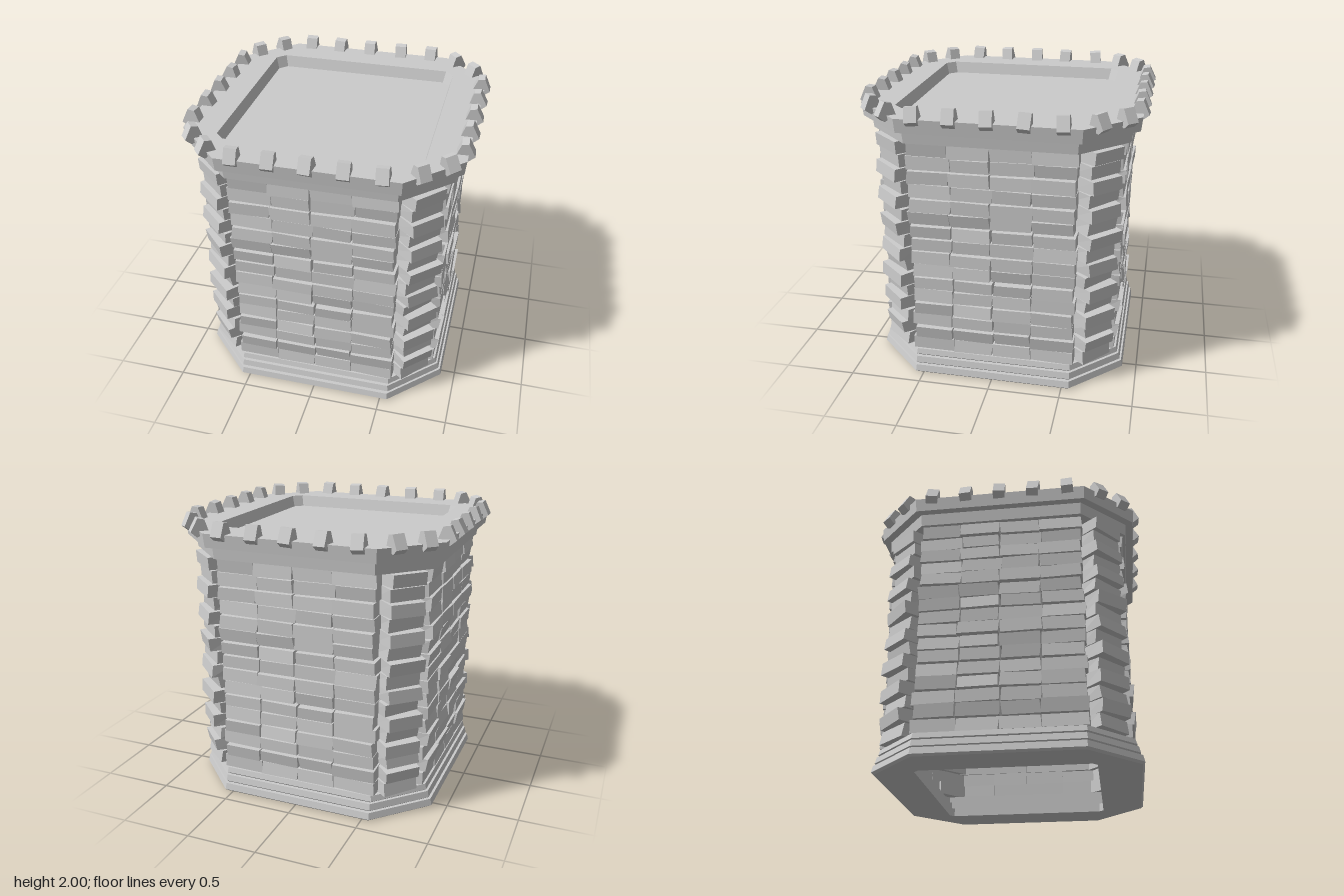
import * as THREE from 'three';
import { mergeGeometries } from 'three/addons/utils/BufferGeometryUtils.js';

const stone = new THREE.MeshStandardMaterial({ color: 0xcccccc, flatShading: true });

// small seeded generator, returns -1..1
let seed = 11;
const jitter = () => {
  seed = (seed * 16807) % 2147483647;
  return (seed / 2147483647) * 2 - 1;
};

// square with cut corners: half width h, corner cut starting at c
const octagon = (h, c) => [[-c, h], [c, h], [h, c], [h, -c], [c, -h], [-c, -h], [-h, -c], [-h, c]];

// solid ring lofted through a closed profile of [half width, corner start, y]
function ring(name, profile) {
  const loops = profile.map(([h, c, y]) => octagon(h, c).map(([x, z]) => [x, y, z]));
  const pos = [];
  loops.forEach((low, j) => {
    const high = loops[(j + 1) % loops.length];
    for (let i = 0; i < 8; i++) {
      const n = (i + 1) % 8;
      pos.push(...low[i], ...low[n], ...high[n], ...low[i], ...high[n], ...high[i]);
    }
  });
  const geo = new THREE.BufferGeometry();
  geo.setAttribute('position', new THREE.Float32BufferAttribute(pos, 3));
  geo.computeVertexNormals();
  const mesh = new THREE.Mesh(geo, stone);
  mesh.name = name;
  return mesh;
}

// plinth step with an undercut lower edge
const plinthStep = (name, y0, y1, outer, inner) => ring(name, [
  [outer - 0.015, 0.545, y0], [outer, 0.555, y0 + 0.014], [outer - 0.01, 0.55, y1],
  [inner, inner - 0.03, y1], [inner, inner - 0.03, y0],
]);

// hewn block: flat front face, front edges slightly out of square
function brick(w, h, d, rough) {
  const geo = new THREE.BoxGeometry(w, h, d).toNonIndexed();
  const p = geo.attributes.position;
  const [slant, skew, taper] = [jitter() * rough, jitter() * rough, Math.abs(jitter()) * rough];
  for (let i = 0; i < p.count; i++) {
    if (p.getZ(i) < 0) continue;
    const [sx, sy] = [Math.sign(p.getX(i)), Math.sign(p.getY(i))];
    p.setXYZ(i,
      p.getX(i) + sy * slant * 0.4 - sx * taper * 0.5,
      p.getY(i) - sy * (0.002 + taper * 0.4),
      p.getZ(i) + sy * skew * 0.6);
  }
  geo.computeVertexNormals();
  return geo;
}

// one wall of coursed bricks, facing +z, with the corner stack on its right
function wallGeometries() {
  const rows = 16, rowH = 0.0976, base = 0.168;
  const wall = [], corner = [];
  for (let r = 0; r < rows; r++) {
    const y = base + (r + 0.5) * rowH;
    const out = r % 2 ? 0.008 : -0.004;
    const joints = [-0.565, -0.28, 0, 0.28, 0.565].map((x) => x + jitter() * 0.012);
    for (let b = 0; b < 4; b++) {
      wall.push(brick(joints[b + 1] - joints[b], rowH, 0.15, 0.014)
        .rotateY(jitter() * 0.035)
        .rotateZ(jitter() * 0.012)
        .translate((joints[b] + joints[b + 1]) / 2, y, 0.767 + out + jitter() * 0.008));
    }
    // corner blocks jut out on every other course
    corner.push(brick(0.26, rowH, 0.18, 0.014)
      .rotateY(jitter() * 0.1)
      .rotateZ(jitter() * 0.04)
      .translate(jitter() * 0.012, y, (r % 2 ? 0.965 : 0.93) + jitter() * 0.008)
      .rotateY(Math.PI / 4));
  }
  return { wall: mergeGeometries(wall), corner: mergeGeometries(corner) };
}

// battlement stone: slanted profile, outward = +z, origin on the parapet edge
function merlonGeometry() {
  const outline = [[-0.08, -0.03], [0.0, -0.065], [0.042, -0.03], [-0.004, 0.062], [-0.05, 0.054]];
  const shape = new THREE.Shape(outline.map(([x, y]) => new THREE.Vector2(x, y)));
  return new THREE.ExtrudeGeometry(shape, { depth: 0.082, bevelEnabled: false })
    .translate(0, 0, -0.041)
    .rotateY(-Math.PI / 2);
}

export function createModel() {
  const model = new THREE.Group();
  model.name = 'brickTower';

  // stepped plinth, open underneath
  model.add(
    plinthStep('plinthLower', 0, 0.06, 0.9, 0.6),
    plinthStep('plinthMiddle', 0.06, 0.118, 0.878, 0.63),
    plinthStep('plinthUpper', 0.118, 0.17, 0.858, 0.655),
  );

  // cornice, parapet slab with sunken roof
  model.add(
    ring('cornice', [[0.872, 0.565, 1.728], [0.88, 0.57, 1.818], [0.69, 0.62, 1.818], [0.69, 0.62, 1.728]]),
    ring('parapet', [[0.93, 0.595, 1.815], [0.94, 0.6, 1.91], [0.69, 0.63, 1.91], [0.665, 0.61, 1.815]]),
  );
  const roof = new THREE.Mesh(new THREE.BoxGeometry(1.38, 0.04, 1.38), stone);
  roof.name = 'roofFloor';
  roof.position.y = 1.808;
  model.add(roof);

  // four identical sides: wall, corner stack and battlements
  const { wall, corner } = wallGeometries();
  const merlonGeo = merlonGeometry();
  for (let s = 0; s < 4; s++) {
    const side = new THREE.Group();
    side.name = 'side';
    side.rotation.y = (s * Math.PI) / 2;

    const wallMesh = new THREE.Mesh(wall, stone);
    wallMesh.name = 'brickWall';
    const cornerMesh = new THREE.Mesh(corner, stone);
    cornerMesh.name = 'cornerBricks';
    side.add(wallMesh, cornerMesh);

    const cornerSide = new THREE.Group();
    cornerSide.name = 'cornerBattlements';
    cornerSide.rotation.y = Math.PI / 4;
    side.add(cornerSide);

    const addMerlon = (parent, x, z) => {
      const merlon = new THREE.Mesh(merlonGeo, stone);
      merlon.name = 'merlon';
      merlon.position.set(x, 1.932, z);
      merlon.rotation.set(jitter() * 0.06, jitter() * 0.1, jitter() * 0.1);
      parent.add(merlon);
    };
    for (let i = -2; i <= 2; i++) addMerlon(side, i * 0.24, 0.938);
    for (const x of [-0.1, 0.113]) addMerlon(cornerSide, x, 1.1);
    model.add(side);
  }
  return model;
}
